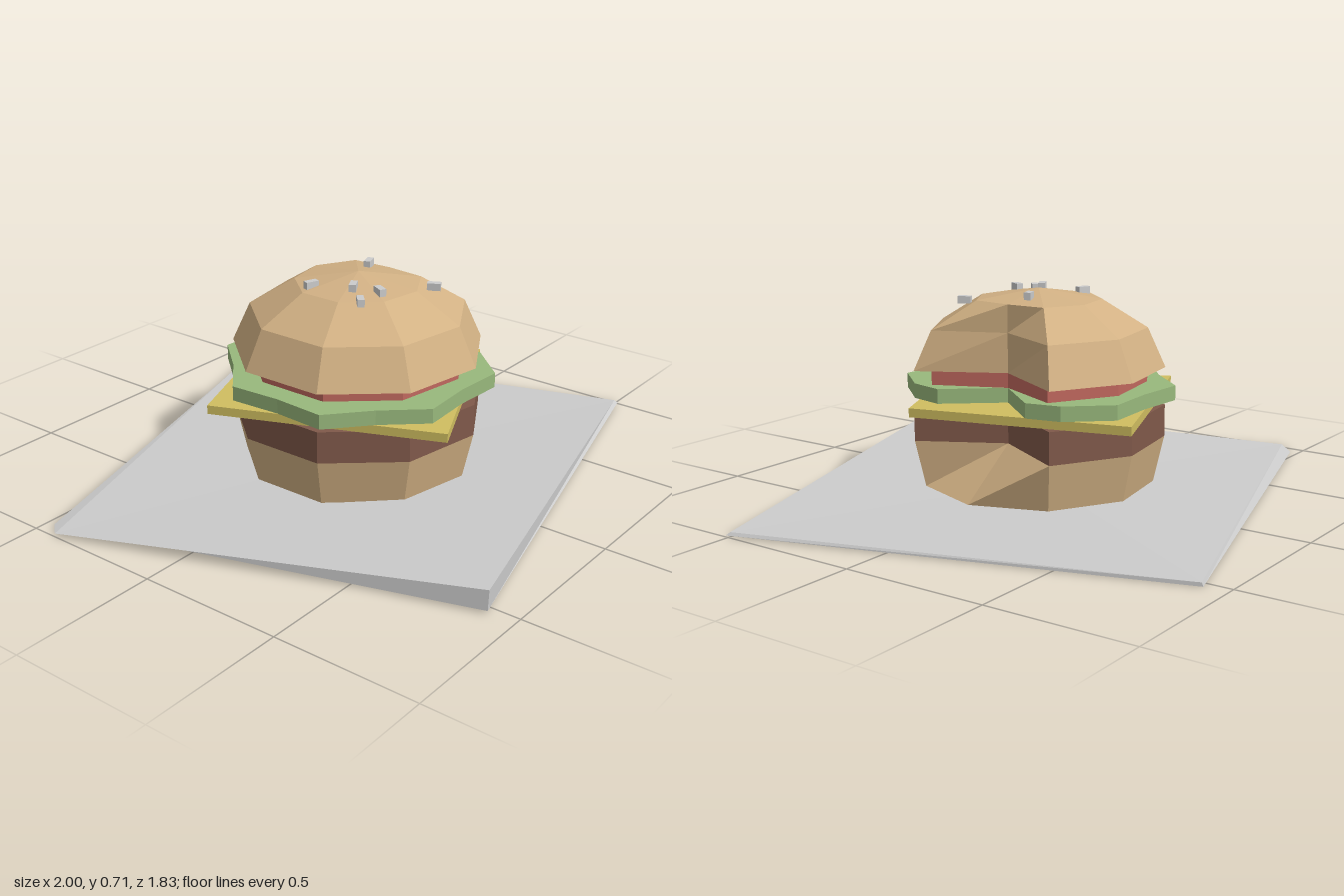
import * as THREE from 'three';

const SIDES = 9, BITE_X = 0.18, CX = 0.005, CZ = 0.025;

// Joins closed rings of points, listed bottom to top, and caps both ends.
function loft(rings) {
  const pos = [];
  const tri = (...pts) => pts.forEach((p) => pos.push(...p));
  const centre = (ring) => [0, 1, 2].map((k) => ring.reduce((s, p) => s + p[k], 0) / ring.length);
  const n = rings[0].length;
  const low = centre(rings[0]), high = centre(rings[rings.length - 1]);
  for (let i = 0; i < n; i++) {
    const j = (i + 1) % n;
    for (let r = 0; r < rings.length - 1; r++) {
      const a = rings[r], b = rings[r + 1];
      tri(a[i], b[i], a[j]);
      tri(a[j], b[i], b[j]);
    }
    tri(low, rings[0][i], rings[0][j]);
    tri(high, rings[rings.length - 1][j], rings[rings.length - 1][i]);
  }
  const geo = new THREE.BufferGeometry();
  geo.setAttribute('position', new THREE.Float32BufferAttribute(pos, 3));
  geo.computeVertexNormals();
  return geo;
}

// Round ring whose first point is pushed in to x = biteX.
function bittenRing(y, radius, biteX = BITE_X, sides = SIDES, dip = 1) {
  return Array.from({ length: sides }, (_, i) => {
    const a = (i / sides) * Math.PI * 2;
    const r = i % 2 === 0 ? radius * dip : radius;
    return [i === 0 ? biteX : CX + Math.cos(a) * r, y, CZ + Math.sin(a) * r];
  });
}

const flatRing = (corners, y) => corners.map(([x, z]) => [x, y, z]);

export function createModel() {
  const burger = new THREE.Group();
  burger.name = 'burger';
  const add = (name, geometry, color) => {
    const material = new THREE.MeshStandardMaterial({ color, flatShading: true });
    const mesh = new THREE.Mesh(geometry, material);
    mesh.name = name;
    burger.add(mesh);
    return mesh;
  };
  const bunColor = 0xd2b184;

  // Paper napkin with one lifted corner
  add('napkin', loft([
    [[1, 0.005, 0.51], [-0.535, 0.01, 0.91], [-0.95, 0.002, -0.47], [0.53, 0, -0.92]],
    [[0.99, 0.015, 0.5], [-0.53, 0.077, 0.91], [-1, 0.012, -0.41], [0.53, 0.012, -0.915]],
  ]), 0xcccccc);

  // Lower half: the bite leaves the foot of the bun whole
  add('bottomBun', loft([bittenRing(0.04, 0.395, 0.4), bittenRing(0.2, 0.431)]), bunColor);
  add('patty', loft([bittenRing(0.2, 0.431), bittenRing(0.31, 0.431)]), 0x80594a);

  // Fillings
  const slice = [[0.435, 0.24], [-0.21, 0.54], [-0.51, -0.195], [0.23, -0.49]];
  add('cheese', loft([flatRing(slice, 0.31), flatRing(slice, 0.34)]), 0xd0be60);

  const leaf = (y) => bittenRing(y, 0.47, BITE_X, 16, 0.9).map(([x, h, z], i) =>
    // leaf points beside the bite are cut short
    [i === 1 || i === 15 ? 0.33 : x, h, z]);
  add('lettuce', loft([leaf(0.34), leaf(0.39)]), 0x98b87c);
  add('tomato', loft([bittenRing(0.39, 0.37), bittenRing(0.44, 0.37)]), 0xc0685e);

  // Domed top
  add('topBun', loft([
    bittenRing(0.44, 0.431),
    bittenRing(0.575, 0.37),
    bittenRing(0.67, 0.215),
    bittenRing(0.705, 0.002, CX + 0.002),
  ]), bunColor);

  // Sesame seeds: x, y, z, turn
  const seeds = [
    [-0.15, 0.685, -0.05, -0.35], [-0.1, 0.694, 0.085, 0.5], [-0.16, 0.677, 0.16, 0.75],
    [-0.07, 0.688, 0.17, 1.1], [0.135, 0.662, 0.24, -1.1], [0.115, 0.695, -0.015, 0.35],
  ];
  seeds.forEach(([x, y, z, turn]) => {
    const seed = add('seed', new THREE.BoxGeometry(0.045, 0.025, 0.023), 0xcccccc);
    seed.position.set(x, y, z);
    seed.rotation.y = turn;
  });
  return burger;
}
